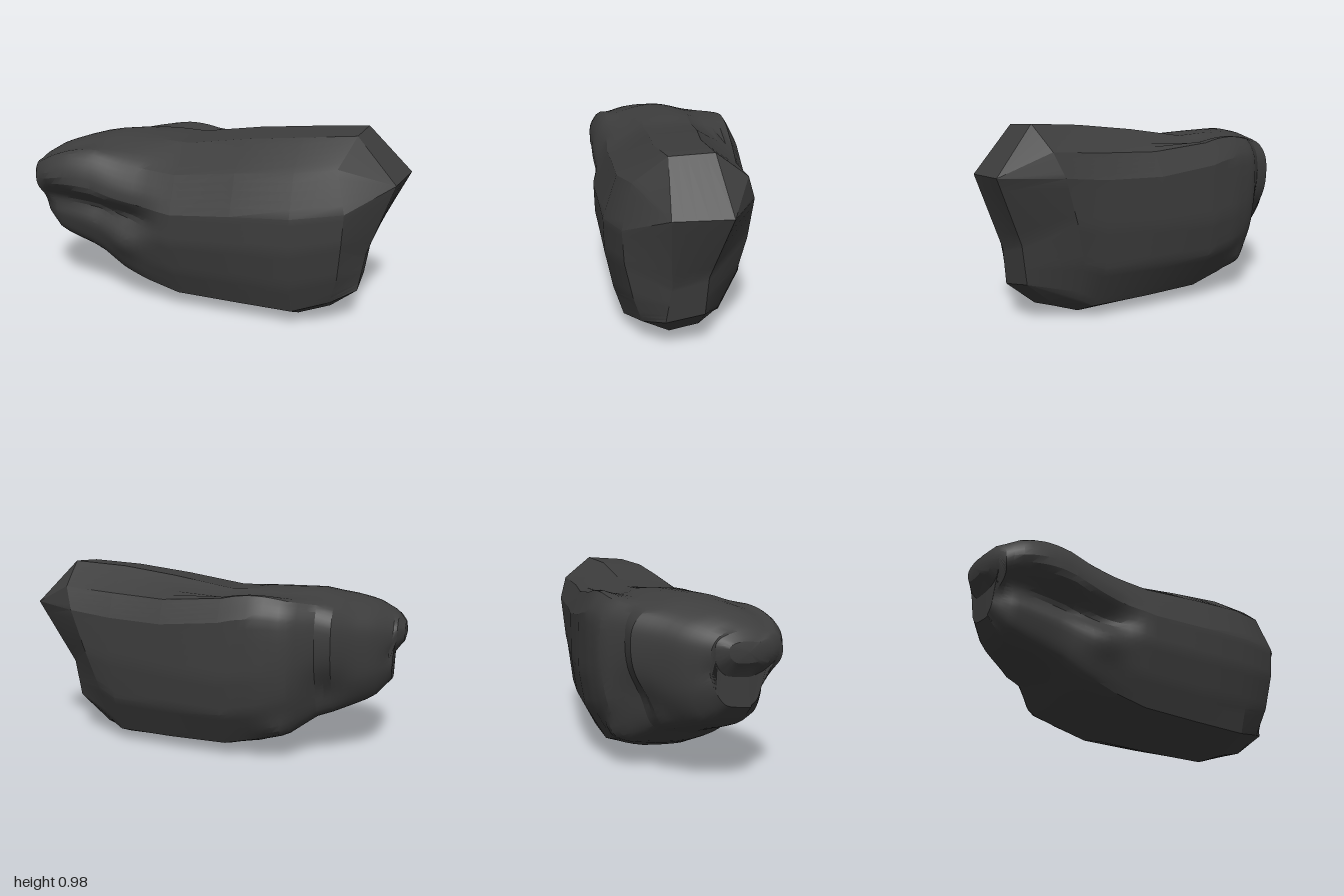
import * as THREE from 'three';
import { toCreasedNormals } from 'three/addons/utils/BufferGeometryUtils.js';

const { lerp, clamp, smoothstep } = THREE.MathUtils;

// Unit cross-section: across (z), height (y), and x of that corner on the blunt end's rim
const profile = [
  [-0.35, 1, 0.78], [0.3, 0.985, 0.76], [0.8, 0.84, 0.7], [1, 0.62, 0.75], [0.99, 0.44, 0.74],
  [0.88, 0.24, 0.72], [0.74, 0.08, 0.68], [0.27, 0, 0.66], [-0.27, 0.01, 0.63], [-0.64, 0.065, 0.58],
  [-0.92, 0.28, 0.6], [-1, 0.5, 0.66], [-1, 0.74, 0.73], [-0.85, 0.87, 0.77],
].map((p) => new THREE.Vector3(...p));

// Envelope along the length: x, bottom, top, back z, front z
const envelope = [
  [-0.99, 0.6, 0.695, 0.03, 0.2], [-0.975, 0.575, 0.71, 0.01, 0.25], [-0.955, 0.53, 0.735, -0.02, 0.29],
  [-0.935, 0.39, 0.75, -0.03, 0.33],
  [-0.85, 0.3, 0.8, -0.13, 0.38], [-0.75, 0.26, 0.83, -0.21, 0.385], [-0.66, 0.23, 0.85, -0.3, 0.385],
  [-0.58, 0.2, 0.865, -0.3, 0.38], [-0.45, 0.12, 0.87, -0.39, 0.385], [-0.3, 0.06, 0.875, -0.405, 0.385],
  [-0.12, 0.015, 0.87, -0.4, 0.4], [0.2, 0.005, 0.92, -0.355, 0.4], [0.5, 0, 0.955, -0.295, 0.4],
  [0.78, 0.05, 0.975, -0.285, 0.35],
];

// Blunt end: a brow, a waist, a shin and a foot, each with front, back and centre line corners
const browFront = [0.96, 0.735, 0.145], browBack = [1, 0.745, -0.12], browMid = [0.98, 0.74, 0.012];
const waistFront = [0.83, 0.36, 0.12], waistBack = [0.83, 0.4, -0.05], waistMid = [0.83, 0.38, 0.035];
const shinFront = [0.815, 0.265, 0.1325], shinBack = [0.815, 0.3, -0.045], shinMid = [0.815, 0.2825, 0.0435];
const footFront = [0.8, 0.17, 0.145], footBack = [0.8, 0.2, -0.04], footMid = [0.8, 0.185, 0.052];

// The face corner that each profile corner joins, then the centre line corner behind it
const faceCorners = [
  browBack, browFront, browFront, browFront, waistFront, shinFront, footFront, footFront,
  footBack, footBack, shinBack, waistBack, browBack, browBack,
];
const midCorners = [
  browMid, browMid, browMid, browMid, waistMid, shinMid, footMid, footMid,
  footMid, footMid, shinMid, waistMid, browMid, browMid,
];

const STEPS = 5;
const COUNT = profile.length * STEPS;
const curve = new THREE.CatmullRomCurve3(profile, true);

const mix = (a, b, t) => a.map((v, k) => lerp(v, b[k], t));
const bell = (v, centre, width) => Math.exp(-(((v - centre) / width) ** 2));

function sampleEnvelope(x) {
  let i = 1;
  while (i < envelope.length - 1 && x > envelope[i][0]) i++;
  const [a, b] = [envelope[i - 1], envelope[i]];
  return mix(a, b, clamp((x - a[0]) / (b[0] - a[0]), 0, 1));
}

// A ring of straight edges through one corner for each profile corner
function cornerRing(corners) {
  return Array.from({ length: COUNT }, (_, i) => {
    const k = Math.floor(i / STEPS);
    return mix(corners[k], corners[(k + 1) % corners.length], (i % STEPS) / STEPS);
  });
}

const facets = cornerRing(profile.map((p) => p.toArray()));

// One ring of the body; faceted at the blunt end, rounded and grooved at the narrow end
function makeRing(x, isRim = false) {
  const [, bottom, top, back, front] = sampleEnvelope(x);
  const round = 1 - smoothstep(x, -0.5, -0.12);
  return facets.map((corner, i) => {
    const p = new THREE.Vector3(...corner).lerp(curve.getPoint(i / COUNT), round);
    const pinch = isRim ? 1 - 0.12 * (1 - p.y) : 1;
    let px = isRim ? p.z : x;
    let y = lerp(bottom, top, p.y);
    let z = (front + back) / 2 + ((front - back) / 2) * p.x * pinch;

    // Fuller shoulder on the back, fuller upper lobe on the front
    const lift = p.x < 0 ? 0.1 * bell(x, -0.25, 0.35) : 0.05 * bell(x, -0.7, 0.22);
    const shoulder = smoothstep(p.y, 0.5, 0.75) * clamp((1 - p.y) / 0.13, 0, 1);
    y += lift * shoulder * smoothstep(Math.abs(p.x), 0.4, 0.8);

    if (p.x > 0) {
      // Groove under the upper lobe, and a lower lobe set back beneath it
      const along = smoothstep(x, -0.98, -0.85) * (1 - smoothstep(x, -0.4, -0.15));
      const groove = bell(y, lerp(0.56, 0.48, smoothstep(x, -0.9, -0.35)), 0.07);
      z -= 0.08 * along * groove * smoothstep(p.x, 0.3, 0.8);
      const setBack = (1 - smoothstep(x, -0.85, -0.3)) * (1 - smoothstep(y, 0.46, 0.6));
      z -= 0.09 * setBack * smoothstep(p.x, 0, 0.7);
      z += 0.02 * bell(x, -0.4, 0.09) * bell(y, 0.33, 0.07);
    } else {
      // Hollow and spur on the back
      z += 0.06 * bell(x, -0.63, 0.1) * bell(y, 0.38, 0.12);
      z -= 0.04 * bell(x, -0.42, 0.08) * bell(y, 0.17, 0.07);
    }
    // Notch across the narrow tip
    px += 0.02 * bell(x, -0.945, 0.03) * bell(y, 0.55, 0.05);
    return [px, y, z];
  });
}

function loft(rings) {
  const index = [];
  for (let r = 0; r < rings.length - 1; r++) {
    for (let i = 0; i < COUNT; i++) {
      const j = (i + 1) % COUNT;
      const a = r * COUNT + i, an = r * COUNT + j;
      index.push(a, an, a + COUNT, an, an + COUNT, a + COUNT);
    }
  }
  const geometry = new THREE.BufferGeometry();
  geometry.setAttribute('position', new THREE.Float32BufferAttribute(rings.flat(2), 3));
  geometry.setIndex(index);
  return toCreasedNormals(geometry, 0.38);
}

export function createModel() {
  const rings = [];
  // Narrow tip, closed to a point
  const tip = makeRing(-0.99);
  rings.push(tip.map(() => [-1, 0.65, 0.12]), tip, makeRing(-0.975), makeRing(-0.955), makeRing(-0.935));
  // Rounded narrow half
  for (let x = -0.9; x < -0.14; x += 0.04) rings.push(makeRing(x));
  // Faceted wide half and its rim
  for (const x of [-0.12, 0.2, 0.5]) rings.push(makeRing(x));
  rings.push(makeRing(0.78, true));
  // Blunt end: a raised brow with a hollow face beneath
  rings.push(cornerRing(faceCorners), cornerRing(midCorners));

  const stone = new THREE.MeshStandardMaterial({ color: 0x3d3d3d });
  stone.name = 'darkStone';
  const body = new THREE.Mesh(loft(rings), stone);
  body.name = 'boulder';
  const group = new THREE.Group();
  group.name = 'rock';
  group.add(body);
  return group;
}
